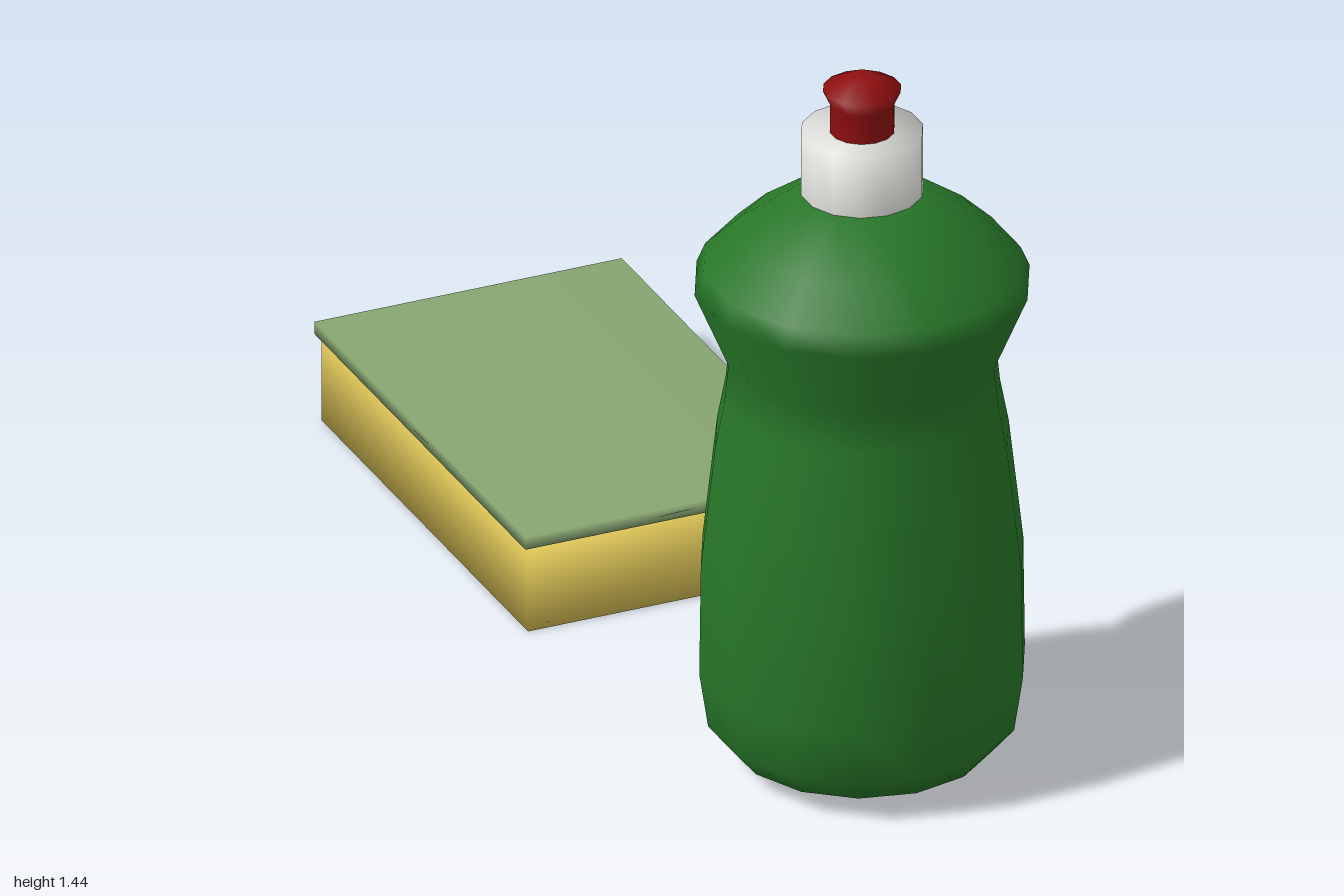
import * as THREE from 'three';
import { mergeVertices } from 'three/addons/utils/BufferGeometryUtils.js';

const SIDES = 14;

function material(name, color) {
  const m = new THREE.MeshStandardMaterial({ color });
  m.name = name;
  return m;
}

// Revolved part from [radius, height] pairs, listed from bottom to top
function turned(name, profile, mat) {
  const points = profile.map(([r, y]) => new THREE.Vector2(r, y));
  const mesh = new THREE.Mesh(new THREE.LatheGeometry(points, SIDES), mat);
  mesh.name = name;
  return mesh;
}

// Box with shared corners, so its shading is smooth across the edges
function softBox(name, [x0, x1], [y0, y1], [z0, z1], mat) {
  let geo = new THREE.BoxGeometry(x1 - x0, y1 - y0, z1 - z0);
  geo.deleteAttribute('uv');
  geo.deleteAttribute('normal');
  geo = mergeVertices(geo);
  geo.computeVertexNormals();
  const mesh = new THREE.Mesh(geo, mat);
  mesh.name = name;
  mesh.position.set((x0 + x1) / 2, (y0 + y1) / 2, (z0 + z1) / 2);
  return mesh;
}

export function createModel() {
  const green = material('bottle green', 0x277628);
  const white = material('cap white', 0xdcdcd8);
  const red = material('nozzle red', 0x8e0f10);
  const yellow = material('sponge yellow', 0xdfc658);
  const scourer = material('scourer green', 0x87a571);

  const model = new THREE.Group();
  model.name = 'bottleAndSponge';

  // Bottle: waisted body, collar cap and flared pull nozzle
  const bottle = new THREE.Group();
  bottle.name = 'bottle';
  bottle.position.set(0.03, 0, 0.677);
  bottle.add(
    turned('bottleBody', [
      [0, 0.034], [0.25, 0.034], [0.296, 0.088], [0.313, 0.2], [0.31, 0.43],
      [0.282, 0.68], [0.265, 0.77], [0.257, 0.85], [0.322, 1.005],
      [0.305, 1.045], [0.235, 1.112], [0.117, 1.197], [0, 1.197],
    ], green),
    turned('cap', [[0.117, 1.19], [0.117, 1.325], [0, 1.325]], white),
    turned('nozzle', [
      [0.062, 1.32], [0.062, 1.385], [0.075, 1.413], [0.03, 1.437], [0, 1.44],
    ], red),
  );

  // Sponge: foam block with a slightly wider scouring pad on top
  const sponge = new THREE.Group();
  sponge.name = 'sponge';
  sponge.add(
    softBox('foamBlock', [-0.339, 0.279], [0, 0.18], [-0.988, -0.038], yellow),
    softBox('scouringPad', [-0.348, 0.287], [0.179, 0.205], [-1, -0.03], scourer),
  );

  model.add(bottle, sponge);
  return model;
}
